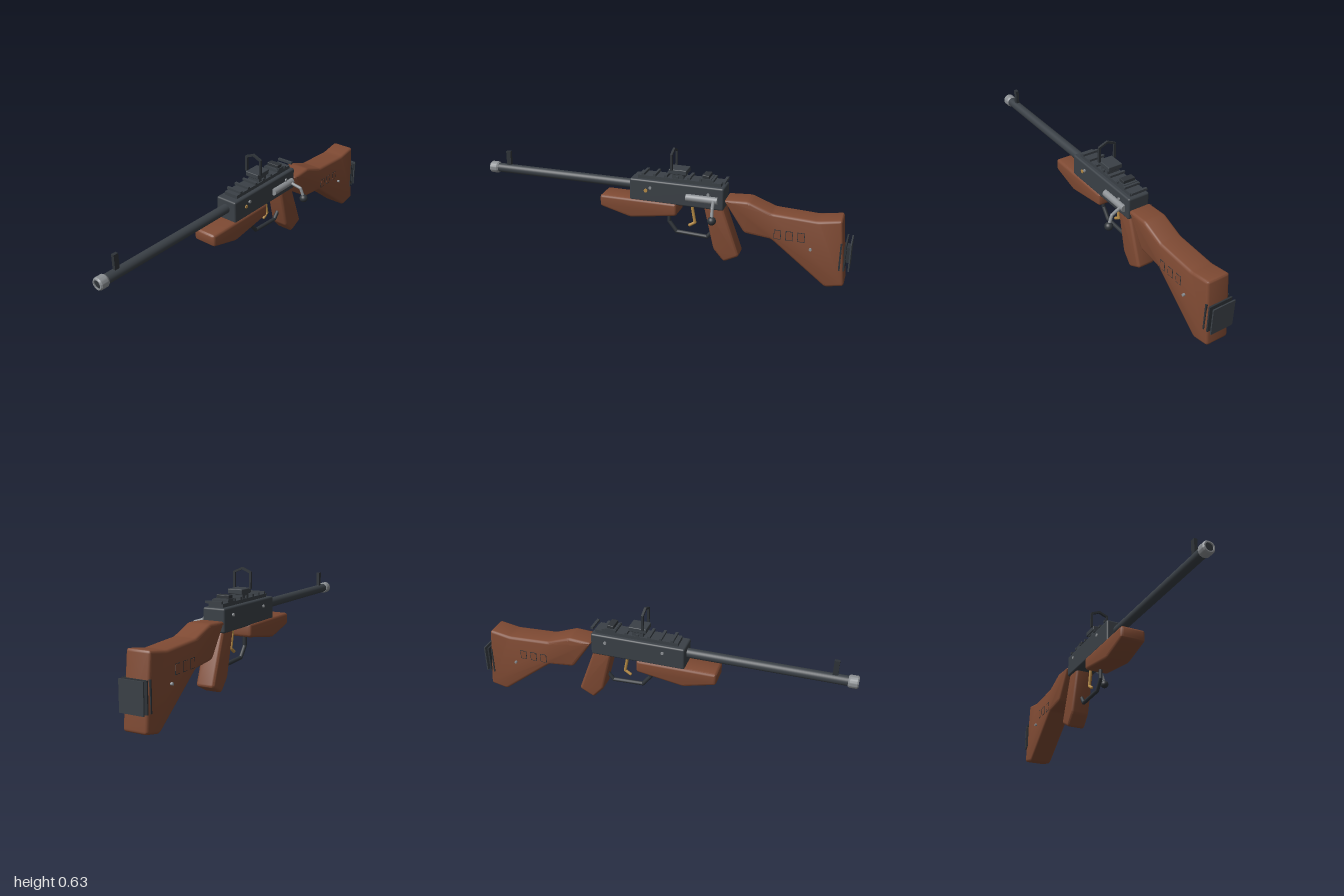
import * as THREE from 'three';
import { toCreasedNormals } from 'three/addons/utils/BufferGeometryUtils.js';
import { RoundedBoxGeometry } from 'three/addons/geometries/RoundedBoxGeometry.js';

const CX = -0.05; // x of the centre plane

export function createModel() {
  const mat = (name, color) => {
    const m = new THREE.MeshStandardMaterial({ color });
    m.name = name;
    return m;
  };
  const wood = mat('wood', 0x7f4a33);
  const dark = mat('dark metal', 0x3a4046);
  const black = mat('black metal', 0x2e3338);
  const steel = mat('steel', 0x8b8f93);
  const brass = mat('brass', 0xb58a45);

  const model = new THREE.Group();
  const add = (name, geo, material, x = 0, y = 0, z = 0) => {
    const mesh = new THREE.Mesh(geo, material);
    mesh.name = name;
    mesh.position.set(x, y, z);
    model.add(mesh);
    return mesh;
  };
  const box = (name, w, h, d, material, x, y, z) =>
    add(name, new THREE.BoxGeometry(w, h, d), material, x, y, z);
  const softBox = (name, w, h, d, r, material, x, y, z) =>
    add(name, new RoundedBoxGeometry(w, h, d, 3, r), material, x, y, z);
  const pin = (name, r, length, material, x, y, z) =>
    add(name, new THREE.CylinderGeometry(r, r, length, 16).rotateZ(Math.PI / 2), material, x, y, z);

  // Side profile of [z, y] points with rounded corners, extruded across x
  const slab = (name, points, width, material, bevel = 0.014) => {
    const pts = points.map(([z, y]) => new THREE.Vector2(z, y));
    const shape = new THREE.Shape();
    pts.forEach((p, i) => {
      const toward = (q) => p.clone().add(q.clone().sub(p).setLength(bevel));
      const a = toward(pts[(i + pts.length - 1) % pts.length]);
      const b = toward(pts[(i + 1) % pts.length]);
      if (i) shape.lineTo(a.x, a.y);
      else shape.moveTo(a.x, a.y);
      shape.quadraticCurveTo(p.x, p.y, b.x, b.y);
    });
    shape.closePath();
    const geo = new THREE.ExtrudeGeometry(shape, {
      depth: width - 2 * bevel, curveSegments: 4,
      bevelSize: bevel, bevelThickness: bevel, bevelOffset: -bevel, bevelSegments: 3,
    });
    geo.translate(0, 0, bevel - width / 2).rotateY(-Math.PI / 2);
    return add(name, toCreasedNormals(geo, 0.6), material, CX);
  };

  // Round rod through straight segments, with ball joints
  const rod = (name, points, r, material) => {
    const group = new THREE.Group();
    group.name = name;
    const pts = points.map((p) => new THREE.Vector3(...p));
    pts.forEach((p, i) => {
      const joint = new THREE.Mesh(new THREE.SphereGeometry(r, 12, 8), material);
      joint.position.copy(p);
      group.add(joint);
      if (!i) return;
      const d = p.clone().sub(pts[i - 1]);
      const part = new THREE.Mesh(new THREE.CylinderGeometry(r, r, d.length(), 12), material);
      part.position.copy(p).add(pts[i - 1]).multiplyScalar(0.5);
      part.quaternion.setFromUnitVectors(new THREE.Vector3(0, 1, 0), d.normalize());
      group.add(part);
    });
    model.add(group);
  };

  // Wooden furniture
  slab('stock', [[-0.355, 0.4], [-0.482, 0.408], [-0.605, 0.361], [-0.83, 0.35], [-0.945, 0.37],
    [-0.982, 0.02], [-0.889, 0], [-0.605, 0.222], [-0.466, 0.236]], 0.127, wood);
  slab('grip', [[-0.245, 0.36], [-0.345, 0.36], [-0.443, 0.092], [-0.362, 0.05], [-0.305, 0.115]], 0.1, wood);
  slab('forend', [[0.318, 0.348], [-0.108, 0.348], [-0.108, 0.28], [0.145, 0.24], [0.318, 0.285]], 0.133, wood);

  // Outlined panels on both sides of the stock
  for (const side of [-1, 1]) {
    for (const z of [-0.637, -0.696, -0.755]) {
      box('stockPanelOutline', 0.004, 0.05, 0.036, black, CX + side * 0.0625, 0.255, z);
      box('stockPanel', 0.004, 0.044, 0.03, wood, CX + side * 0.0632, 0.255, z);
    }
  }

  // Butt plates
  box('buttPlateFront', 0.134, 0.146, 0.008, black, CX, 0.178, -0.951);
  box('buttPlateMiddle', 0.13, 0.146, 0.008, black, CX, 0.178, -0.973);
  box('buttPlateRear', 0.126, 0.146, 0.007, dark, CX, 0.178, -0.9965);
  box('buttPlateCore', 0.06, 0.08, 0.03, black, CX, 0.178, -0.98);

  // Receiver and ribbed rail
  softBox('receiver', 0.122, 0.12, 0.505, 0.01, dark, CX, 0.4, -0.1025);
  box('rail', 0.08, 0.02, 0.445, dark, CX, 0.468, -0.1125);
  for (let i = 0; i < 8; i++) {
    box('railRib', 0.09, 0.012, 0.014, dark, CX, 0.486, 0.08 - i * 0.0615);
  }

  // Barrel with muzzle ring and bore
  add('barrel', new THREE.CylinderGeometry(0.025, 0.025, 0.84, 32).rotateX(Math.PI / 2), dark, CX, 0.41, 0.55);
  const ring = [[0.021, 0.04], [0.021, 0.05], [0.027, 0.05], [0.032, 0.043], [0.032, 0.008], [0.027, 0], [0.02, 0]]
    .map(([r, y]) => new THREE.Vector2(r, y)).reverse();
  add('muzzle', toCreasedNormals(new THREE.LatheGeometry(ring, 32).rotateX(Math.PI / 2), 0.5), steel, CX, 0.41, 0.95);
  add('bore', new THREE.CircleGeometry(0.0215, 32), black, CX, 0.41, 0.994);
  box('frontSight', 0.017, 0.082, 0.026, black, CX, 0.471, 0.886);

  // Sight base with peaked frame
  box('sightRiser', 0.07, 0.03, 0.06, dark, CX, 0.49, -0.105);
  softBox('sightBase', 0.082, 0.026, 0.095, 0.004, dark, CX, 0.514, -0.105);
  const frame = new THREE.Shape();
  [[-0.051, 0], [-0.051, 0.086], [0, 0.108], [0.051, 0.086], [0.051, 0], [0.04, 0],
    [0.04, 0.079], [0, 0.096], [-0.04, 0.079], [-0.04, 0]]
    .forEach(([x, y], i) => (i ? frame.lineTo(x, y) : frame.moveTo(x, y)));
  add('sightFrame', new THREE.ExtrudeGeometry(frame, { depth: 0.012, bevelEnabled: false }), black, CX, 0.523, -0.08);

  // Rear sight
  box('rearSightBase', 0.08, 0.022, 0.06, dark, CX, 0.484, -0.253);
  softBox('rearSight', 0.07, 0.024, 0.036, 0.003, black, CX, 0.5, -0.253);

  // Bolt and handle
  add('bolt', new THREE.CylinderGeometry(0.019, 0.019, 0.165, 24).rotateX(Math.PI / 2), steel, 0.014, 0.394, -0.243);
  rod('boltHandle', [[0.018, 0.396, -0.305], [0.082, 0.376, -0.316], [0.102, 0.325, -0.32]], 0.0085, steel);
  add('boltKnob', new THREE.SphereGeometry(0.022, 24, 16), black, 0.102, 0.32, -0.32);

  // Trigger and guard
  rod('triggerGuard', [[CX, 0.3, -0.05], [CX, 0.222, -0.05], [CX, 0.167, -0.093],
    [CX, 0.16, -0.26], [CX, 0.21, -0.3]], 0.0105, black);
  rod('trigger', [[CX, 0.345, -0.172], [CX, 0.305, -0.178], [CX, 0.232, -0.192], [CX, 0.213, -0.163]], 0.008, brass);

  // Pins
  pin('stockPin', 0.007, 0.15, steel, CX, 0.2, -0.805);
  for (const z of [0.035, -0.275]) pin('receiverPin', 0.008, 0.135, steel, CX, 0.421, z);
  pin('brassPin', 0.01, 0.012, brass, 0.009, 0.403, 0.06);

  return model;
}
